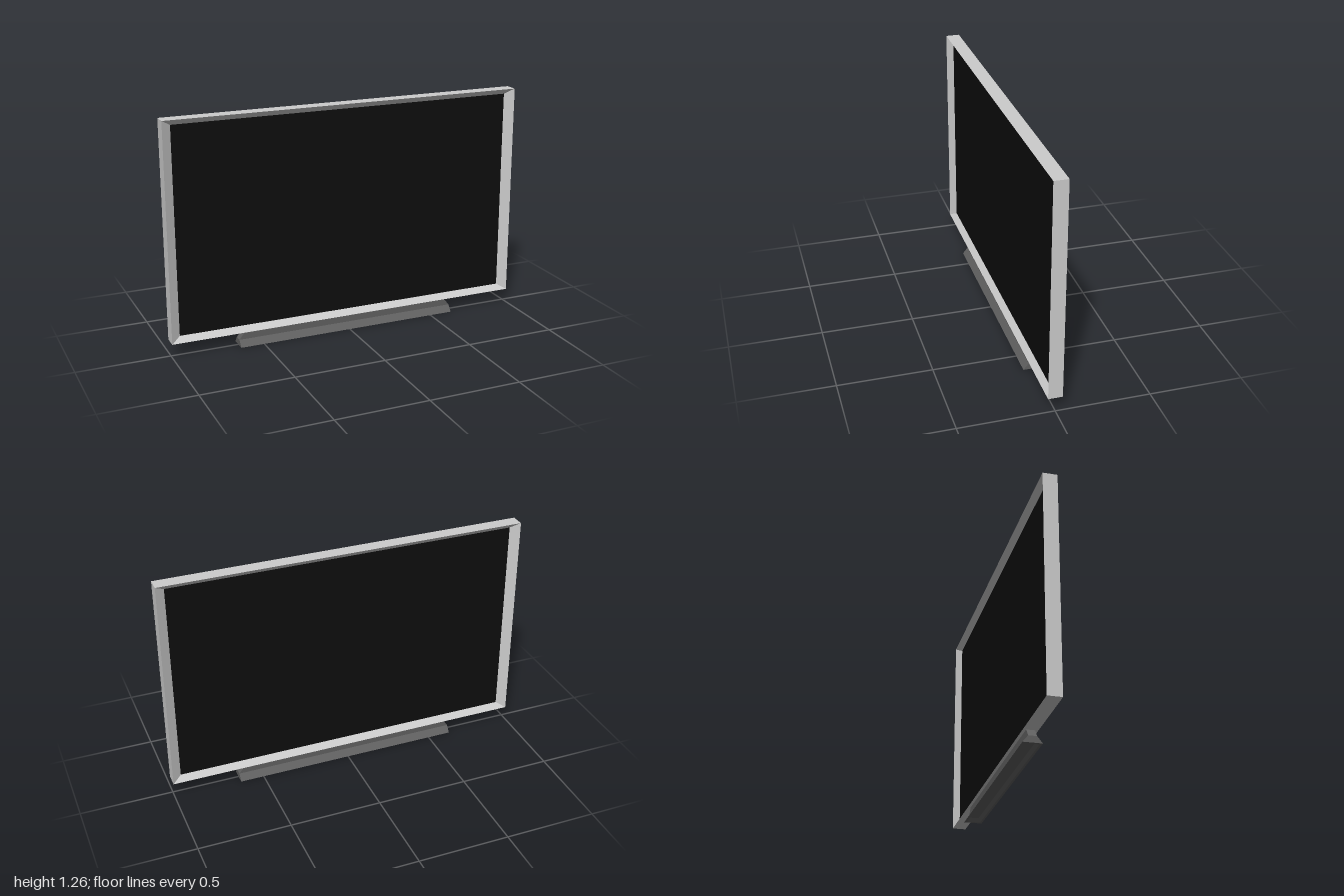
import * as THREE from 'three';

// Flat-shaded skin through rectangular rings [halfX, halfZ, y]; the solid side faces outward
function loft(rings, capped) {
  const corners = rings.map(([x, z, y]) =>
    [[x, y, z], [x, y, -z], [-x, y, -z], [-x, y, z]]);
  const pos = [];
  const quad = (a, b, c, d) => pos.push(...a, ...b, ...c, ...a, ...c, ...d);
  for (let r = 0; r < corners.length - 1; r++) {
    for (let i = 0; i < 4; i++) {
      const j = (i + 1) % 4;
      quad(corners[r][i], corners[r][j], corners[r + 1][j], corners[r + 1][i]);
    }
  }
  if (capped) {
    quad(...[...corners[0]].reverse());
    quad(...corners[corners.length - 1]);
  }
  const geo = new THREE.BufferGeometry();
  geo.setAttribute('position', new THREE.Float32BufferAttribute(pos, 3));
  geo.computeVertexNormals();
  return geo;
}

export function createModel() {
  const model = new THREE.Group();
  model.name = 'television';
  const add = (name, geo, color, y = 0) => {
    const mesh = new THREE.Mesh(geo, new THREE.MeshStandardMaterial({ color, flatShading: true }));
    mesh.name = name;
    mesh.position.y = y;
    model.add(mesh);
  };
  const midY = 0.67;

  // Frame: bevels slope inward to the screen on both faces
  const frame = loft([
    [0.95, 0.562, -0.008],
    [1, 0.592, -0.038],
    [1, 0.592, 0.038],
    [0.95, 0.562, 0.008],
  ], false);
  frame.rotateX(Math.PI / 2);
  add('frame', frame, 0xcccccc, midY);

  // Dark panel recessed in the frame, visible from front and back
  add('screen', new THREE.BoxGeometry(1.9, 1.124, 0.016), 0x0d0d0d, midY);

  // Stand: hollow underside, flared foot, narrow neck with tapered ends
  add('stand', loft([
    [0.6, 0.025, 0.02],
    [0.615, 0.038, 0],
    [0.63, 0.05, 0],
    [0.63, 0.022, 0.035],
    [0.595, 0.022, 0.079],
  ], true), 0x606060);

  return model;
}
